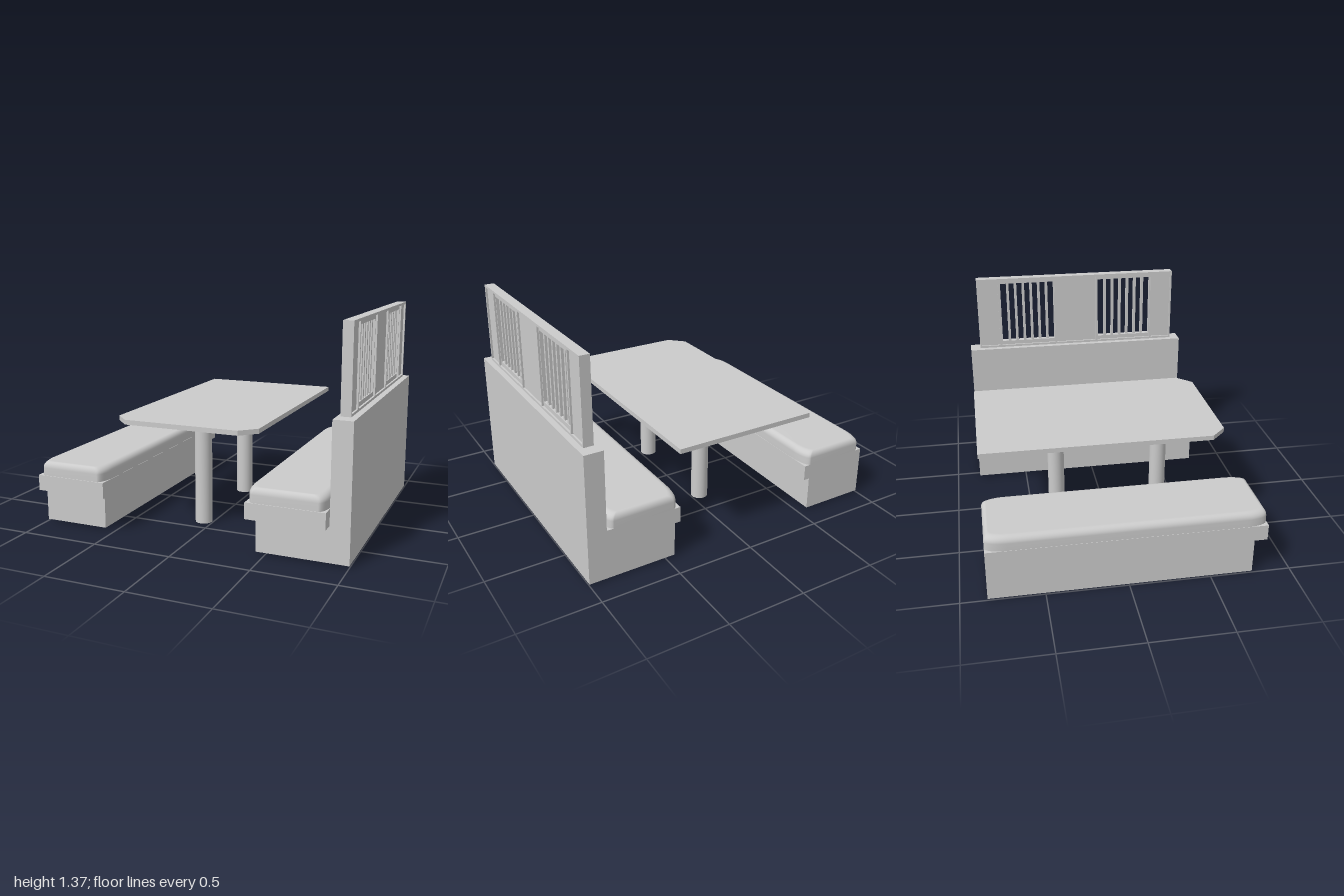
import * as THREE from 'three';

const material = new THREE.MeshStandardMaterial({ color: 0xcccccc });

function add(parent, name, geometry) {
  const mesh = new THREE.Mesh(geometry, material);
  mesh.name = name;
  parent.add(mesh);
  return mesh;
}

// Box given by its extents on each axis
function box(parent, name, [x0, x1], [y0, y1], [z0, z1]) {
  const mesh = add(parent, name, new THREE.BoxGeometry(x1 - x0, y1 - y0, z1 - z0));
  mesh.position.set((x0 + x1) / 2, (y0 + y1) / 2, (z0 + z1) / 2);
  return mesh;
}

// Padded seat: rounded-corner rings stacked upward, drawn in over the top edge
function cushionGeometry(width, height, depth) {
  const cornerX = 0.045, cornerZ = 0.13, arc = 8, steps = 6;
  const rings = [{ y: 0, t: 0 }];
  for (let i = 0; i <= steps; i++) {
    const a = (i / steps) * Math.PI / 2;
    rings.push({ y: height - 0.042 * (1 - Math.sin(a)), t: 1 - Math.cos(a) });
  }
  const positions = [], indices = [];
  const count = 4 * (arc + 1);
  for (const { y, t } of rings) {
    const hx = width / 2 - 0.04 * t, hz = depth / 2 - 0.03 * t;
    for (let c = 0; c < 4; c++) {
      const sx = c === 0 || c === 3 ? 1 : -1, sz = c < 2 ? 1 : -1;
      for (let k = 0; k <= arc; k++) {
        const a = (c + k / arc) * Math.PI / 2;
        positions.push(
          sx * (hx - cornerX) + cornerX * Math.cos(a), y,
          sz * (hz - cornerZ) + cornerZ * Math.sin(a));
      }
    }
  }
  for (let r = 0; r < rings.length - 1; r++) {
    for (let i = 0; i < count; i++) {
      const a = r * count + i, b = r * count + (i + 1) % count;
      indices.push(a, a + count, b, b, a + count, b + count);
    }
  }
  // Flat top and underside
  const last = (rings.length - 1) * count, centre = positions.length / 3;
  positions.push(0, height, 0, 0, 0, 0);
  const underside = centre + 2;
  positions.push(...positions.slice(0, count * 3));
  for (let i = 0; i < count; i++) {
    const j = (i + 1) % count;
    indices.push(centre, last + j, last + i);
    indices.push(centre + 1, underside + i, underside + j);
  }
  const geometry = new THREE.BufferGeometry();
  geometry.setAttribute('position', new THREE.Float32BufferAttribute(positions, 3));
  geometry.setIndex(indices);
  geometry.computeVertexNormals();
  return geometry;
}

function bench(name, baseX, seatX) {
  const group = new THREE.Group();
  group.name = name;
  box(group, 'benchBase', baseX, [0.01, 0.23], [-0.84, 0.76]);
  box(group, 'seatBoard', seatX, [0.23, 0.33], [-0.84, 0.84]);
  const cushion = add(group, 'cushion', cushionGeometry(seatX[1] - seatX[0] - 0.004, 0.09, 1.675));
  cushion.position.set((seatX[0] + seatX[1]) / 2, 0.33, -0.0025);
  return group;
}

function table() {
  const group = new THREE.Group();
  group.name = 'table';
  // Top with two clipped front corners
  const outline = [[-0.53, 0.84], [-0.53, -0.62], [-0.435, -0.715], [0.31, -0.715], [0.405, -0.62], [0.405, 0.84]];
  const shape = new THREE.Shape(outline.map(([x, y]) => new THREE.Vector2(x, y)));
  const topGeometry = new THREE.ExtrudeGeometry(shape, { depth: 0.03, bevelEnabled: false });
  topGeometry.rotateX(-Math.PI / 2);
  add(group, 'tableTop', topGeometry).position.y = 0.68;
  for (const z of [0.38, -0.325]) {
    add(group, 'tableLeg', new THREE.CylinderGeometry(0.055, 0.055, 0.68, 32)).position.set(-0.063, 0.34, z);
  }
  return group;
}

function screen() {
  const group = new THREE.Group();
  group.name = 'dividerScreen';
  const frameX = [0.905, 0.967], panelX = [0.917, 0.955], slatX = [0.922, 0.95];
  const bottom = 0.855, top = 1.35;
  // Outer rails and uprights
  box(group, 'topRail', frameX, [top, 1.365], [-0.77, 0.69]);
  box(group, 'bottomRail', frameX, [0.84, bottom], [-0.77, 0.69]);
  const uprights = [[-0.77, -0.758], [-0.618, -0.604], [-0.201, -0.188], [0.106, 0.12], [0.527, 0.54], [0.678, 0.69]];
  for (const z of uprights) box(group, 'upright', frameX, [bottom, top], z);
  // Alternating solid panels and slatted windows between the uprights
  for (let i = 0; i < uprights.length - 1; i++) {
    const z0 = uprights[i][1], z1 = uprights[i + 1][0];
    if (i % 2 === 0) {
      box(group, 'solidPanel', panelX, [bottom, top], [z0, z1]);
      continue;
    }
    box(group, 'windowSill', panelX, [bottom, 0.883], [z0, z1]);
    box(group, 'windowHead', panelX, [1.325, top], [z0, z1]);
    box(group, 'windowJamb', panelX, [0.883, 1.325], [z0, z0 + 0.006]);
    box(group, 'windowJamb', panelX, [0.883, 1.325], [z1 - 0.006, z1]);
    for (let s = 0; s < 6; s++) {
      const z = (z0 + z1) / 2 + (s - 2.5) * 0.057;
      box(group, 'slat', slatX, [0.883, 1.325], [z - 0.009, z + 0.009]);
    }
  }
  return group;
}

export function createModel() {
  const model = new THREE.Group();
  model.name = 'diningBooth';
  model.add(bench('rightBench', [-1, -0.57], [-1, -0.53]));
  model.add(bench('leftBench', [0.44, 0.88], [0.402, 0.88]));
  box(model, 'backWall', [0.88, 1], [0.01, 0.835], [-0.84, 0.76]);
  model.add(screen());
  model.add(table());
  return model;
}
